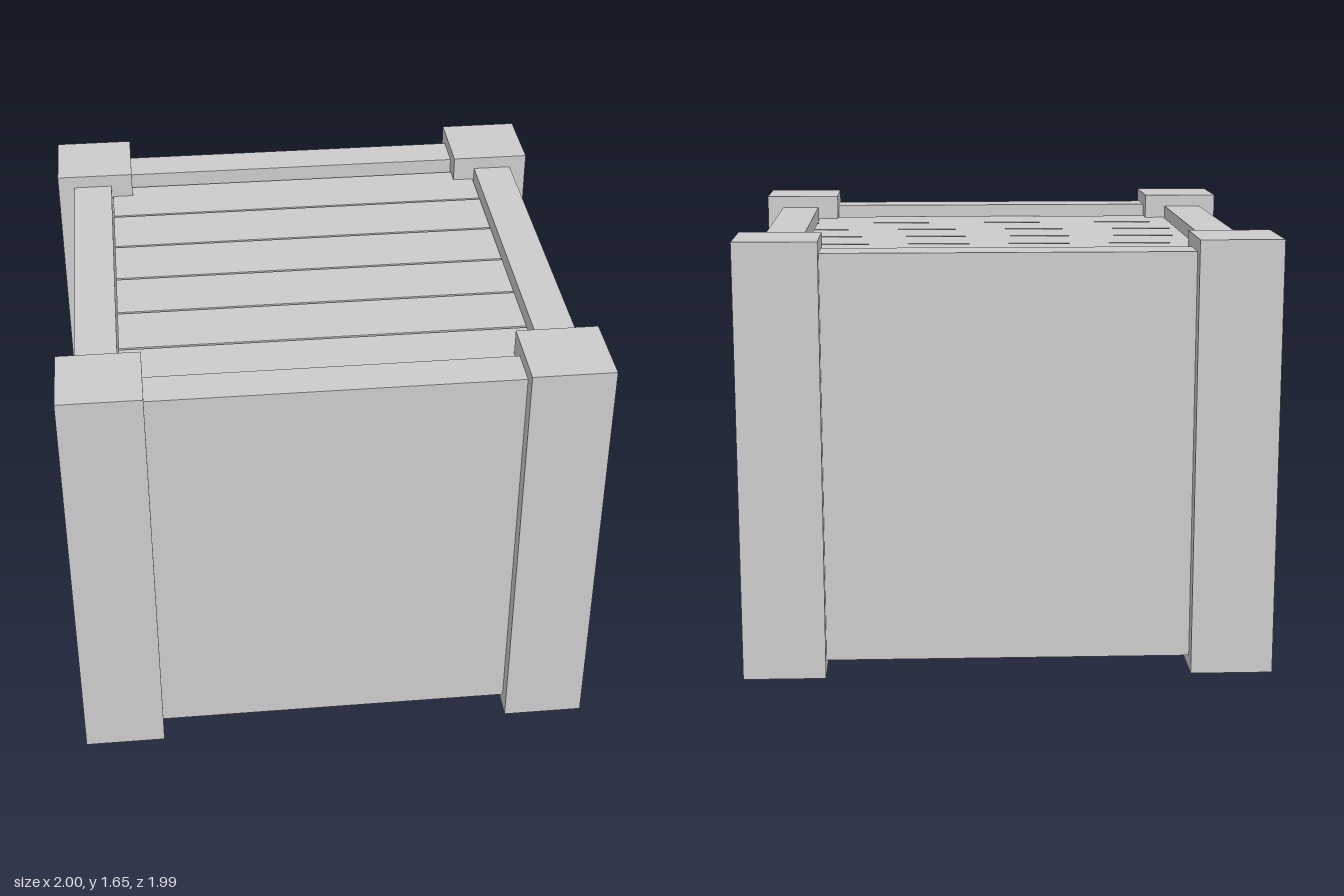
import * as THREE from 'three';

export function createModel() {
  const crate = new THREE.Group();
  crate.name = 'crate';
  const material = new THREE.MeshStandardMaterial({ color: 0xcccccc, flatShading: true });

  // Adds a box standing on height y
  function addBox(name, w, h, d, x, y, z) {
    const mesh = new THREE.Mesh(new THREE.BoxGeometry(w, h, d), material);
    mesh.name = name;
    mesh.position.set(x, y + h / 2, z);
    crate.add(mesh);
  }

  const postSize = 0.31, postX = 0.845, postZ = 0.84;
  const wallThickness = 0.155, wallHeight = 1.55, wallBase = 0.05;

  // Square corner posts
  for (const sx of [-1, 1]) {
    for (const sz of [-1, 1]) {
      addBox('cornerPost', postSize, 1.65, postSize, sx * postX, 0, sz * postZ);
    }
  }

  // Thick walls whose ends are let into the posts; the crate has no floor
  for (const s of [-1, 1]) {
    addBox(s > 0 ? 'frontWall' : 'backWall', 1.5, wallHeight, wallThickness, 0, wallBase, s * 0.855);
    addBox(s > 0 ? 'leftWall' : 'rightWall', wallThickness, wallHeight, 1.5, s * 0.855, wallBase, 0);
  }

  // Lid planks, sunk below the wall tops with narrow gaps between them
  const plankCount = 6, plankPitch = 0.254;
  for (let i = 0; i < plankCount; i++) {
    const z = (i - (plankCount - 1) / 2) * plankPitch;
    addBox('lidPlank', 1.545, 0.05, 0.244, 0, 1.5, z);
  }

  return crate;
}
